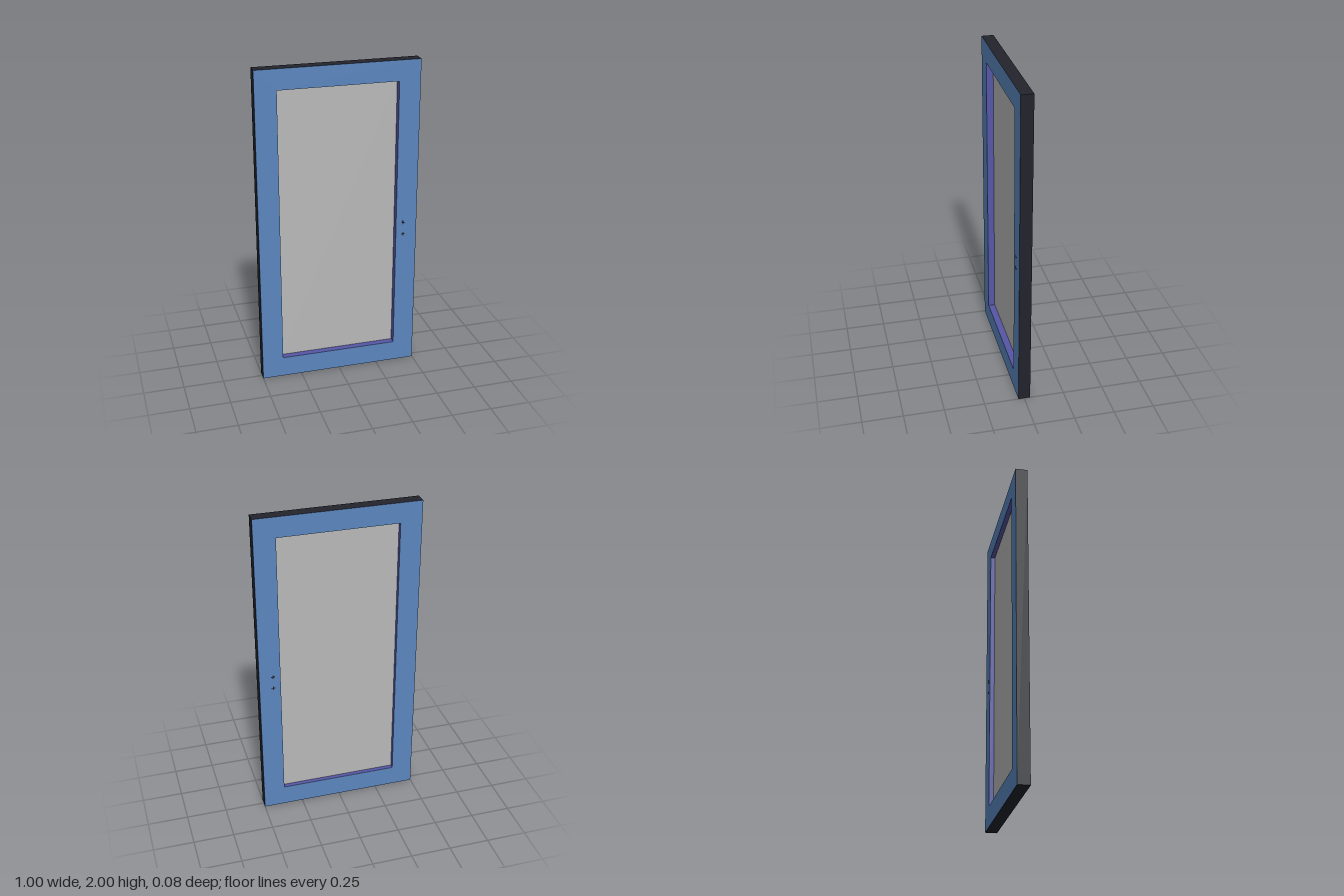
import * as THREE from 'three';
import { mergeGeometries } from 'three/addons/utils/BufferGeometryUtils.js';

const W = 1, H = 2, HALF = 0.037;                  // leaf width, height, half thickness
const OPEN = { x: 0.368, y0: 0.13, y1: 1.874 };    // glazed opening
const PANE_Z = -0.007;

const mat = (name, color) => {
  const m = new THREE.MeshStandardMaterial({ color });
  m.name = name;
  return m;
};

const rectPoints = (x, y0, y1) => [[-x, y0], [x, y0], [x, y1], [-x, y1]].map(p => new THREE.Vector2(...p));

// Four flat strips around a rectangle, facing outward or into the opening
function band(x, y0, y1, inward) {
  const w = 2 * x, h = y1 - y0, cy = (y0 + y1) / 2, t = 2 * HALF;
  const flip = inward ? Math.PI : 0;
  return mergeGeometries([
    new THREE.PlaneGeometry(t, h).rotateY(Math.PI / 2 + flip).translate(x, cy, 0),
    new THREE.PlaneGeometry(t, h).rotateY(-Math.PI / 2 + flip).translate(-x, cy, 0),
    new THREE.PlaneGeometry(w, t).rotateX(-Math.PI / 2 + flip).translate(0, y1, 0),
    new THREE.PlaneGeometry(w, t).rotateX(Math.PI / 2 + flip).translate(0, y0, 0),
  ]);
}

export function createModel() {
  const group = new THREE.Group();
  group.name = 'glazedDoor';
  const blue = mat('bluePaint', 0x5b87bf);
  const dark = mat('darkEdge', 0x22232c);
  const purple = mat('purpleReveal', 0x5656a6);
  const grey = mat('greyGlass', 0xb9b9b9);

  const add = (name, geometry, material, parent = group) => {
    const mesh = new THREE.Mesh(geometry, material);
    mesh.name = name;
    parent.add(mesh);
    return mesh;
  };

  // Painted front and back faces with the opening cut out
  const face = new THREE.Shape(rectPoints(W / 2, 0, H));
  face.holes.push(new THREE.Path(rectPoints(OPEN.x, OPEN.y0, OPEN.y1)));
  const faceGeometry = new THREE.ShapeGeometry(face);
  add('frontFace', faceGeometry, blue).position.z = HALF;
  const back = add('backFace', faceGeometry, blue);
  back.position.z = -HALF;
  back.rotation.y = Math.PI;

  // Outer edges and the reveal around the glass
  add('outerEdge', band(W / 2, 0, H, false), dark);
  add('openingReveal', band(OPEN.x, OPEN.y0, OPEN.y1, true), purple);

  // Glass pane
  const pane = add('glassPane', new THREE.BoxGeometry(2 * OPEN.x, OPEN.y1 - OPEN.y0, 0.003), grey);
  pane.position.set(0, (OPEN.y0 + OPEN.y1) / 2, PANE_Z);

  // Small cross marks for the handle fixings, on both faces
  for (const y of [0.972, 0.895]) {
    for (const side of [1, -1]) {
      const mark = new THREE.Group();
      mark.name = 'handleFixing';
      mark.position.set(0.414, y, side * HALF);
      add('fixingBarAcross', new THREE.BoxGeometry(0.024, 0.006, 0.002), dark, mark);
      add('fixingBarUpright', new THREE.BoxGeometry(0.006, 0.024, 0.002), dark, mark);
      group.add(mark);
    }
  }
  return group;
}
